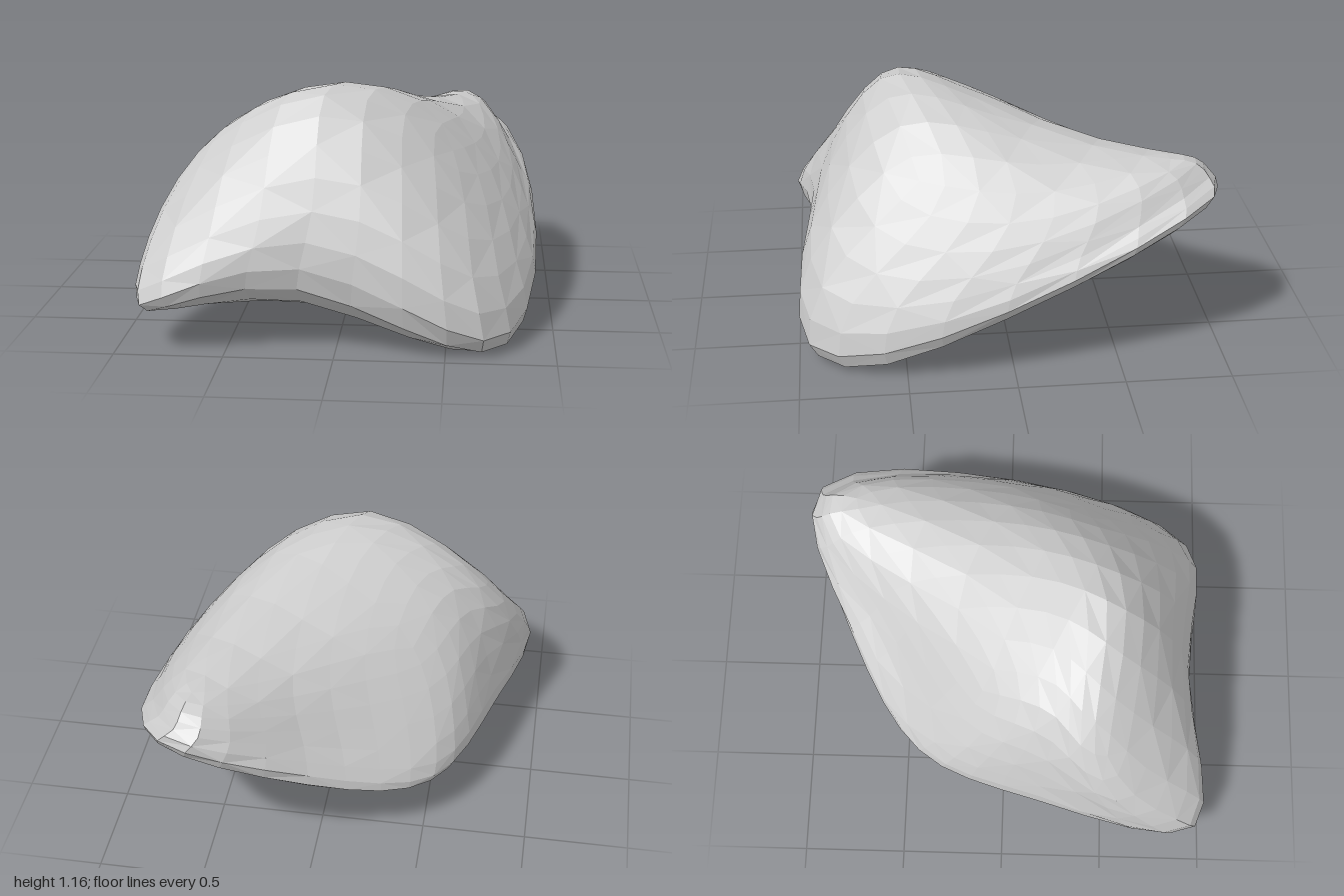
import * as THREE from 'three';

// Surface points of a bent cube: 3 columns (x) of 3 layers (y) of 3 points, back to front
const LEFT = [
  [-0.49, 0.25, -0.42], [-0.7, 0.21, 0.2], [-0.79, 0.19, 0.9],
  [-0.54, 0.42, -0.35], [-0.75, 0.46, 0.18], [-0.89, 0.38, 0.87],
  [-0.38, 0.81, -0.1], [-0.54, 0.92, 0.25], [-0.69, 0.81, 0.48],
];
const MIDDLE = [
  [0.02, 0.42, -0.74], [0.1, 0.19, 0.1], [-0.17, 0.24, 0.84],
  [0.06, 0.62, -0.68], [0, 0.6, 0], [-0.1, 0.66, 0.86],
  [0.14, 0.86, -0.48], [0.1, 1.09, 0.12], [-0.08, 1.14, 0.57],
];
const RIGHT = [
  [0.69, 0.68, -0.84], [0.83, 0.29, 0.04], [0.65, 0.01, 0.85],
  [0.6, 0.85, -0.935], [0.89, 0.49, 0], [0.61, 0.38, 0.885],
  [0.56, 0.935, -0.75], [0.66, 0.84, -0.2], [0.52, 0.85, 0.4],
];

// Four quads on each of the six sides of the cube
function cubeFaces() {
  const step = [9, 3, 1], faces = [];
  for (let d = 0; d < 3; d++) {
    const u = step[(d + 1) % 3], v = step[(d + 2) % 3];
    for (const side of [0, 2]) {
      for (let i = 0; i < 2; i++) {
        for (let j = 0; j < 2; j++) {
          const o = side * step[d] + i * u + j * v;
          const quad = [o, o + u, o + u + v, o + v];
          faces.push(side ? quad : quad.reverse());
        }
      }
    }
  }
  return faces;
}

// One round of Catmull-Clark smoothing; original points keep their index
function subdivide({ points, faces }) {
  const out = points.map((p) => p.clone());
  const stats = points.map(() => ({ n: 0, face: new THREE.Vector3(), edge: new THREE.Vector3() }));
  const edges = new Map();
  const key = (a, b) => (a < b ? `${a}_${b}` : `${b}_${a}`);
  const centres = faces.map((f) => {
    const c = new THREE.Vector3();
    f.forEach((i) => c.addScaledVector(points[i], 0.25));
    f.forEach((a, k) => {
      const b = f[(k + 1) % 4], id = key(a, b);
      stats[a].n++;
      stats[a].face.add(c);
      if (!edges.has(id)) edges.set(id, { a, b, sum: new THREE.Vector3() });
      edges.get(id).sum.add(c);
    });
    return out.push(c) - 1;
  });
  for (const e of edges.values()) {
    const mid = points[e.a].clone().add(points[e.b]);
    stats[e.a].edge.addScaledVector(mid, 0.5);
    stats[e.b].edge.addScaledVector(mid, 0.5);
    e.index = out.push(mid.add(e.sum).multiplyScalar(0.25)) - 1;
  }
  stats.forEach(({ n, face, edge }, i) => {
    if (!n) return;
    out[i].multiplyScalar((n - 3) / n)
      .addScaledVector(face, 1 / (n * n))
      .addScaledVector(edge, 2 / (n * n));
  });
  const quads = [];
  faces.forEach((f, fi) => f.forEach((a, k) => {
    const next = edges.get(key(a, f[(k + 1) % 4])).index;
    const prev = edges.get(key(f[(k + 3) % 4], a)).index;
    quads.push([a, next, centres[fi], prev]);
  }));
  return { points: out, faces: quads };
}

function rockGeometry() {
  const target = [...LEFT, ...MIDDLE, ...RIGHT].map((p) => new THREE.Vector3(...p));
  const points = target.map((p) => p.clone());
  const faces = cubeFaces();
  const smooth = () => subdivide(subdivide({ points, faces }));

  // Push the cage outwards until the smoothed skin passes through the points
  // (point 13 is the unused middle of the cube)
  for (let pass = 0; pass < 8; pass++) {
    const skin = smooth().points;
    points.forEach((p, i) => { if (i !== 13) p.add(target[i]).sub(skin[i]); });
  }

  const skin = smooth();
  const position = [];
  for (const [a, b, c, d] of skin.faces) {
    for (const i of [a, b, c, a, c, d]) position.push(...skin.points[i].toArray());
  }
  const geometry = new THREE.BufferGeometry();
  geometry.setAttribute('position', new THREE.Float32BufferAttribute(position, 3));

  // Rest the lowest point on the ground
  geometry.computeBoundingBox();
  geometry.translate(0, -geometry.boundingBox.min.y, 0);
  geometry.computeVertexNormals();
  return geometry;
}

export function createModel() {
  const group = new THREE.Group();
  group.name = 'boulder';
  const rock = new THREE.Mesh(
    rockGeometry(),
    new THREE.MeshStandardMaterial({ color: 0xcccccc, flatShading: true }),
  );
  rock.name = 'rock';
  group.add(rock);
  return group;
}
